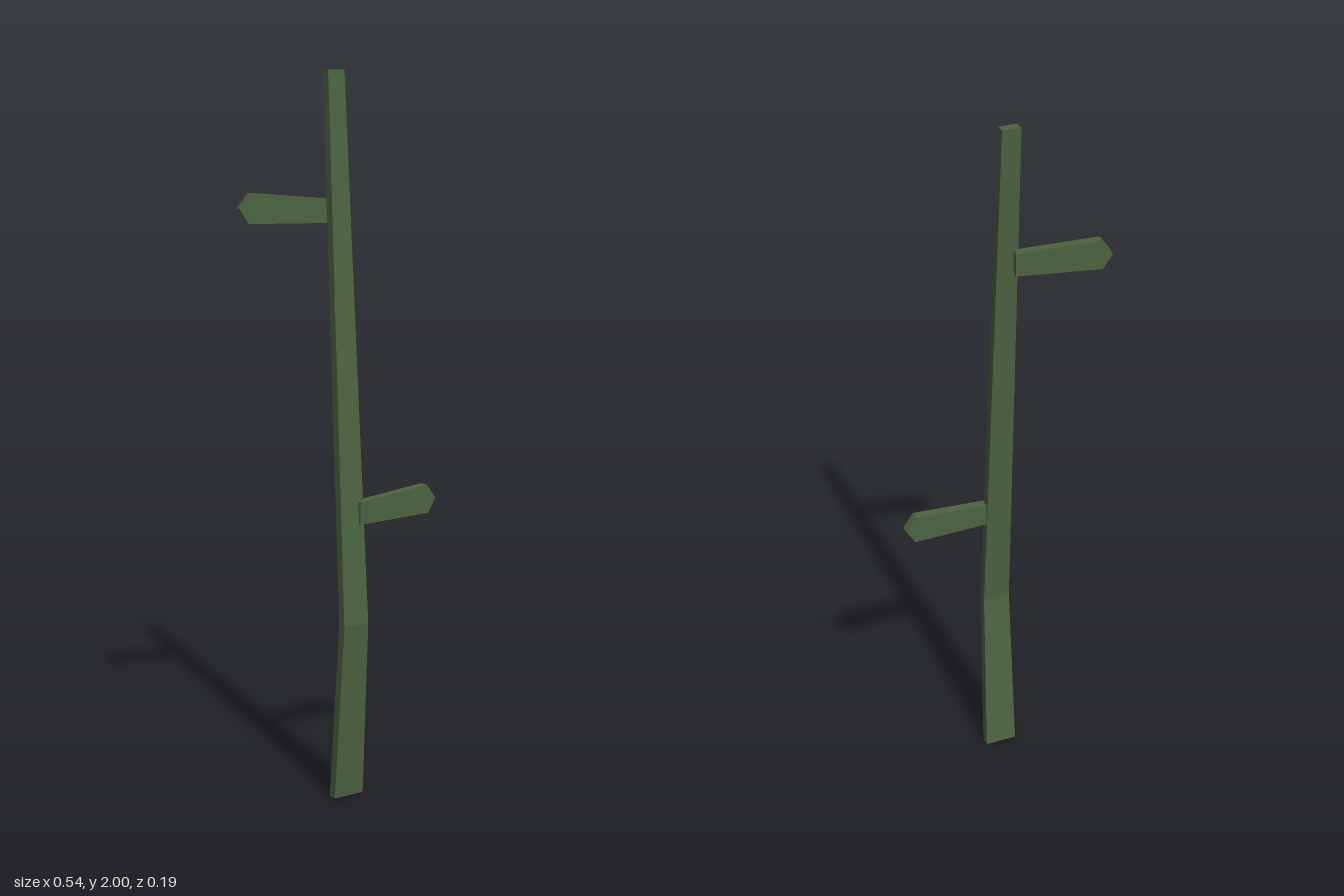
import * as THREE from 'three';

const material = new THREE.MeshStandardMaterial({ color: 0x4c6341, flatShading: true });

// Tapered four-sided stem lofted through rectangular sections.
function buildStem() {
  // y, left x, right x, back z, front z
  const sections = [
    [0, -0.048, 0.045, 0.018, 0.045],
    [0.51, -0.047, 0.031, 0.066, 0.092],
    [2, -0.036, 0.015, -0.032, -0.005],
  ];
  const positions = [];
  const index = [];
  for (const [y, x0, x1, z0, z1] of sections) {
    positions.push(x0, y, z1, x1, y, z1, x1, y, z0, x0, y, z0);
  }
  for (let s = 0; s < sections.length - 1; s++) {
    for (let i = 0; i < 4; i++) {
      const a = s * 4 + i;
      const b = s * 4 + (i + 1) % 4;
      index.push(a, b, b + 4, a, b + 4, a + 4);
    }
  }
  // End caps
  const t = (sections.length - 1) * 4;
  index.push(0, 2, 1, 0, 3, 2, t, t + 1, t + 2, t, t + 2, t + 3);
  const indexed = new THREE.BufferGeometry();
  indexed.setAttribute('position', new THREE.Float32BufferAttribute(positions, 3));
  indexed.setIndex(index);
  const geometry = indexed.toNonIndexed();
  geometry.computeVertexNormals();
  return new THREE.Mesh(geometry, material);
}

// Flat slab leaf with a pointed tip, running from one ground point to another.
function buildLeaf(name, from, to, y) {
  const dx = to[0] - from[0];
  const dz = to[1] - from[1];
  const length = Math.hypot(dx, dz);
  const thickness = 0.027;
  const outline = [
    [0, -0.033], [length - 0.025, -0.03], [length, 0.01],
    [length - 0.03, 0.05], [0, 0.03],
  ].map(([x, h]) => new THREE.Vector2(x, h));
  const geometry = new THREE.ExtrudeGeometry(new THREE.Shape(outline), {
    depth: thickness, bevelEnabled: false,
  });
  geometry.translate(0, 0, -thickness / 2);
  const leaf = new THREE.Mesh(geometry, material);
  leaf.name = name;
  leaf.position.set(from[0], y, from[1]);
  leaf.rotation.y = Math.atan2(-dz, dx);
  return leaf;
}

export function createModel() {
  const group = new THREE.Group();
  group.name = 'plantStalk';
  const stem = buildStem();
  stem.name = 'stem';
  group.add(
    stem,
    buildLeaf('lowerLeaf', [0.012, 0.066], [0.268, 0.058], 0.82),
    buildLeaf('upperLeaf', [-0.024, -0.023], [-0.267, -0.082], 1.633),
  );
  return group;
}
